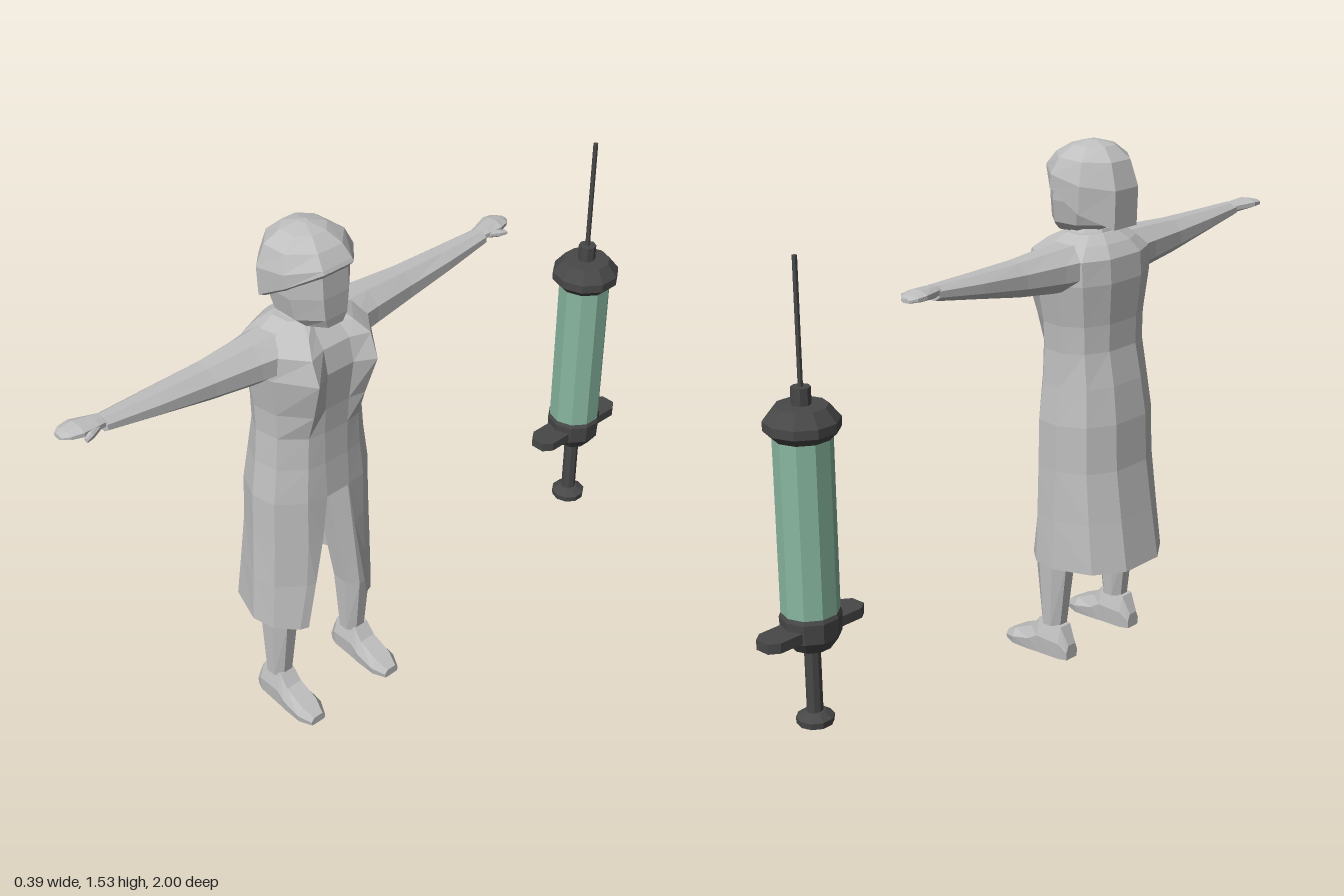
import * as THREE from 'three';

const mat = (name, color) => new THREE.MeshStandardMaterial({ name, color, flatShading: true });
const grey = mat('clothGrey', 0xbfbfbf);
grey.side = THREE.DoubleSide;
const dark = mat('darkPlastic', 0x484848);
const green = mat('greenLiquid', 0x88b79f);

// Skin a list of equal-length rings of [x, y, z]; closed rings get end caps.
function loft(rings, closed = true) {
  const n = rings[0].length, pos = rings.flat(2), idx = [];
  for (let i = 0; i < rings.length - 1; i++)
    for (let j = 0; j < (closed ? n : n - 1); j++) {
      const a = i * n + j, b = i * n + (j + 1) % n;
      idx.push(a, b, b + n, a, b + n, a + n);
    }
  if (closed) {
    const last = (rings.length - 1) * n;
    for (let j = 1; j < n - 1; j++) idx.push(0, j + 1, j, last, last + j, last + j + 1);
  }
  // keep the faces pointing outward whichever way the rings run
  const P = k => new THREE.Vector3(...pos.slice(k * 3, k * 3 + 3));
  let volume = 0;
  for (let i = 0; i < idx.length; i += 3) volume += P(idx[i]).dot(P(idx[i + 1]).cross(P(idx[i + 2])));
  if (volume < 0) idx.reverse();
  const g = new THREE.BufferGeometry();
  g.setAttribute('position', new THREE.Float32BufferAttribute(pos, 3));
  g.setIndex(idx);
  g.computeVertexNormals();
  return g;
}

// Polygon ring around y: centre, radii, tilt of the plane towards the front
const ring = (x, y, z, rx, rz, n = 8, tilt = 0) => Array.from({ length: n }, (_, i) => {
  const a = (i + 0.5) / n * Math.PI * 2, s = 1 / Math.cos(Math.PI / n);
  const dz = Math.cos(a) * rz * s;
  return [x + Math.sin(a) * rx * s, y + dz * tilt, z + dz];
});

// Coat outline, from one front edge round the back to the other
function coatRing([y, w, back, front, gap, chest = front * 0.92]) {
  const half = [
    [gap, y, front], [Math.max(gap + 0.025, w * 0.55), y, chest], [w * 0.93, y, front * 0.45],
    [w, y, -0.02], [w * 0.8, y, back * 0.7], [w * 0.36, y, back],
  ];
  return [...half, ...half.map(([x, yy, z]) => [-x, yy, z]).reverse()];
}

function add(group, name, geometry, material) {
  const m = new THREE.Mesh(geometry, material);
  m.name = name;
  group.add(m);
  return m;
}

function makeFigure() {
  const g = new THREE.Group();
  g.name = 'figure';

  // Coat: height, half width, back, front, half gap, chest depth
  const waist = [0.74, 0.185, -0.145, 0.125, 0.04];
  add(g, 'coatBody', loft([
    waist,
    [0.85, 0.17, -0.13, 0.12, 0.04],
    [0.95, 0.162, -0.11, 0.12, 0.04],
    [1.03, 0.165, -0.11, 0.125, 0.042, 0.135],
    [1.15, 0.185, -0.12, 0.14, 0.045, 0.172],
    [1.22, 0.185, -0.115, 0.125, 0.045, 0.145],
    [1.255, 0.14, -0.09, 0.09, 0.04, 0.105],
    [1.28, 0.09, -0.06, 0.065, 0.03, 0.06],
  ].map(coatRing)), grey);
  add(g, 'coatSkirt', loft([
    waist,
    [0.6, 0.188, -0.15, 0.125, 0.058],
    [0.45, 0.195, -0.172, 0.122, 0.085],
    [0.3, 0.202, -0.196, 0.118, 0.112],
  ].map(coatRing), false), grey);

  // Neck and collar
  add(g, 'neck', loft([ring(0, 1.24, 0.01, 0.05, 0.05), ring(0, 1.31, 0.015, 0.045, 0.045)]), grey);
  add(g, 'collar', loft([ring(0, 1.265, 0.005, 0.08, 0.065), ring(0, 1.29, 0.005, 0.062, 0.055)]), grey);

  // Head with a hair cap tilted back over the nape
  add(g, 'head', loft([
    ring(0, 1.278, 0.045, 0.06, 0.078),
    ring(0, 1.305, 0.03, 0.09, 0.096),
    ring(0, 1.37, 0.02, 0.104, 0.107),
    ring(0, 1.45, 0.015, 0.104, 0.108),
    ring(0, 1.5, 0.01, 0.075, 0.075),
  ]), grey);
  add(g, 'hair', loft([
    ring(0, 1.365, 0.012, 0.1, 0.11, 8, 0.6),
    ring(0, 1.375, 0.012, 0.118, 0.126, 8, 0.6),
    ring(0, 1.435, 0.008, 0.12, 0.125, 8, 0.2),
    ring(0, 1.49, 0.006, 0.1, 0.1, 8, 0.05),
    ring(0, 1.522, 0.005, 0.058, 0.06),
    ring(0, 1.535, 0.005, 0.012, 0.012),
  ]), grey);

  for (const s of [1, -1]) {
    const side = s > 0 ? 'left' : 'right';

    // Sleeve: distance out, height, half height, half depth
    const armRing = ([x, y, hy, hz, z = 0]) =>
      ring(0, 0, 0, hy, hz).map(([a, , c]) => [s * x, y + a, z + c]);
    add(g, side + 'Sleeve', loft([
      [0.1, 1.195, 0.065, 0.085], [0.2, 1.195, 0.06, 0.068], [0.34, 1.2, 0.048, 0.052],
      [0.5, 1.213, 0.033, 0.042], [0.655, 1.226, 0.02, 0.028],
    ].map(armRing)), grey);

    // Hand and thumb
    add(g, side + 'Hand', loft([
      [0.64, 1.23, 0.015, 0.02, -0.003], [0.675, 1.232, 0.016, 0.028, -0.006],
      [0.72, 1.235, 0.015, 0.037, -0.012], [0.752, 1.234, 0.01, 0.03, -0.016],
      [0.77, 1.232, 0.006, 0.015, -0.018],
    ].map(armRing)), grey);
    add(g, side + 'Thumb', loft([
      [0.675, 1.23, 0.01, 0.012, 0.012], [0.705, 1.228, 0.01, 0.012, 0.026],
      [0.725, 1.227, 0.006, 0.007, 0.036],
    ].map(armRing)), grey);

    // Trouser leg
    add(g, side + 'Leg', loft([
      ring(s * 0.143, 0.1, 0.02, 0.036, 0.035), ring(s * 0.14, 0.3, 0.02, 0.045, 0.058),
      ring(s * 0.118, 0.5, 0.015, 0.055, 0.068), ring(s * 0.09, 0.76, 0.005, 0.07, 0.085),
    ]), grey);

    // Shoe: distance forward, half width, height
    add(g, side + 'Shoe', loft([
      [-0.05, 0.025, 0.045], [-0.025, 0.036, 0.1], [0.055, 0.041, 0.112],
      [0.085, 0.044, 0.075], [0.15, 0.045, 0.048], [0.19, 0.026, 0.026],
    ].map(([z, w, h]) => [
      [-0.9, 0], [0.9, 0], [1, 0.5], [0.6, 1], [-0.6, 1], [-1, 0.5],
    ].map(([u, v]) => [s * 0.146 + u * w, v * h, z]))), grey);
  }
  return g;
}

function makeSyringe() {
  const g = new THREE.Group();
  g.name = 'syringe';
  // Turned parts: [radius, height] from bottom to top
  const turned = (name, profile, material, sides = 10) =>
    add(g, name, new THREE.LatheGeometry(profile.map(p => new THREE.Vector2(...p)), sides), material);

  turned('thumbRest', [[0, 0.125], [0.05, 0.125], [0.052, 0.143], [0.028, 0.16], [0, 0.16]], dark);
  turned('plungerRod', [[0.022, 0.15], [0.022, 0.36]], dark, 8);
  turned('lowerCollar', [[0, 0.35], [0.055, 0.35], [0.08, 0.385], [0.083, 0.44], [0.072, 0.465], [0, 0.465]], dark);
  turned('barrel', [[0.078, 0.45], [0.078, 0.94]], green);
  turned('upperCap', [[0, 0.925], [0.075, 0.925], [0.1, 0.95], [0.1, 0.975], [0.07, 1.012], [0, 1.015]], dark);
  turned('needleHub', [[0.026, 1.01], [0.026, 1.06], [0, 1.06]], dark, 8);
  turned('needle', [[0.007, 1.05], [0.007, 1.395], [0, 1.395]], dark, 6);

  // Finger flange with chamfered ends
  const outline = [[0.042, -0.14], [0.042, 0.14], [0.022, 0.167], [-0.022, 0.167],
    [-0.042, 0.14], [-0.042, -0.14], [-0.022, -0.167], [0.022, -0.167]];
  add(g, 'fingerFlange', loft([0.39, 0.418].map(y => outline.map(([x, z]) => [x, y, z]))), dark);
  return g;
}

export function createModel() {
  const model = new THREE.Group();
  model.name = 'figureWithSyringe';
  const figure = makeFigure();
  figure.rotation.y = Math.PI / 2;
  figure.position.z = 0.23;
  const syringe = makeSyringe();
  syringe.position.set(0.06, 0, -0.833);
  model.add(figure, syringe);
  return model;
}
